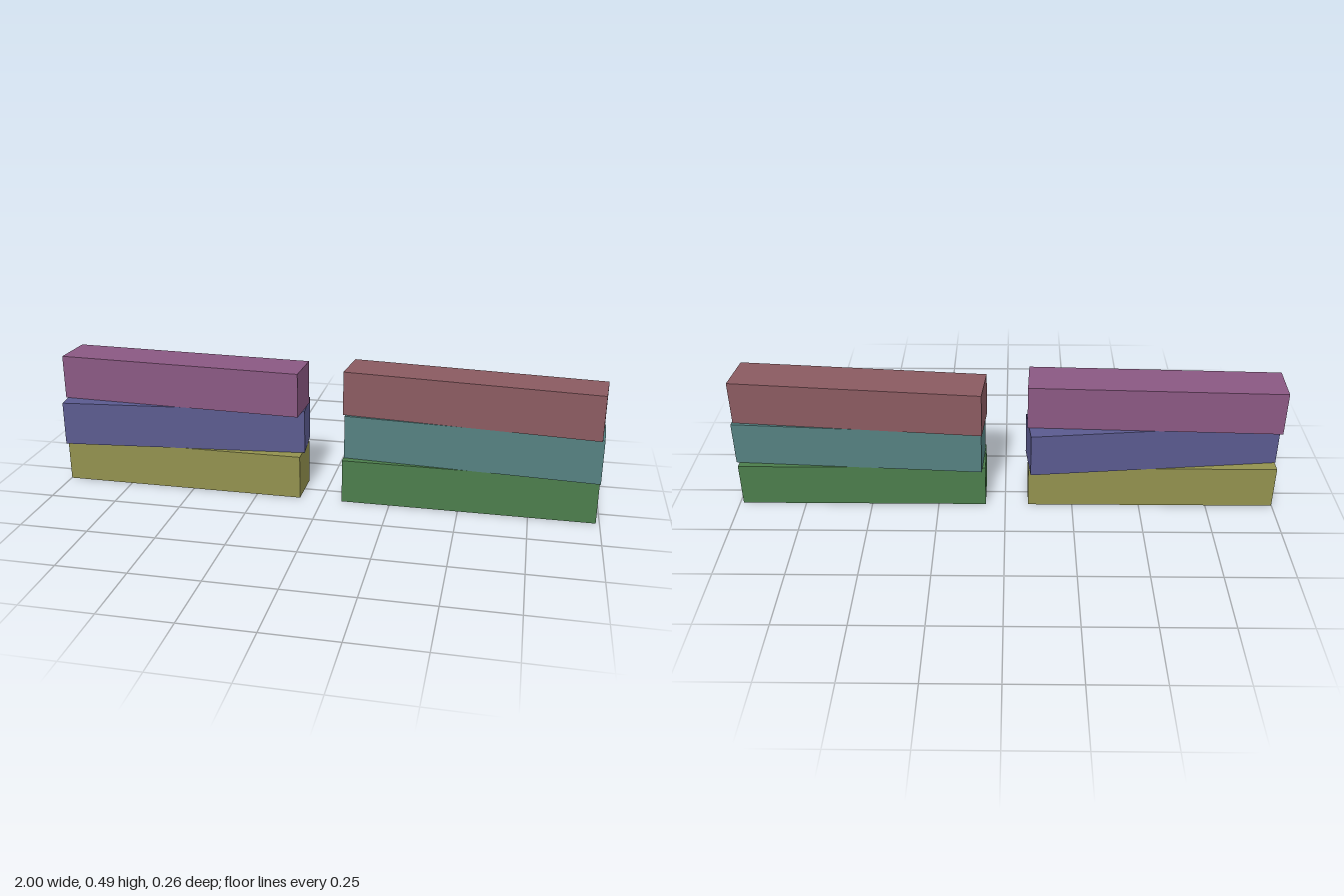
import * as THREE from 'three';

const LENGTH = 0.914, SIDE = 0.163;

// Each stack lists its beams from bottom to top: colour, centre x, turn about y
const STACKS = {
  leftStack: [
    { color: 0x4b7d4b, x: 0.53, turn: 0 },
    { color: 0x548080, x: 0.537, turn: -0.063 },
    { color: 0x8a5a60, x: 0.531, turn: -0.091 },
  ],
  rightStack: [
    { color: 0x92914e, x: -0.542, turn: 0 },
    { color: 0x5a5a8f, x: -0.539, turn: 0.102 },
    { color: 0x8a5882, x: -0.54, turn: -0.04 },
  ],
};
const LEVELS = ['bottomBeam', 'middleBeam', 'topBeam'];

export function createModel() {
  const model = new THREE.Group();
  model.name = 'stackedBeams';
  const beamGeometry = new THREE.BoxGeometry(LENGTH, SIDE, SIDE);

  for (const [name, beams] of Object.entries(STACKS)) {
    const stack = new THREE.Group();
    stack.name = name;
    beams.forEach(({ color, x, turn }, level) => {
      const beam = new THREE.Mesh(beamGeometry, new THREE.MeshStandardMaterial({ color }));
      beam.name = LEVELS[level];
      beam.position.set(x, SIDE * (level + 0.5), 0);
      beam.rotation.y = turn;
      stack.add(beam);
    });
    model.add(stack);
  }
  return model;
}
